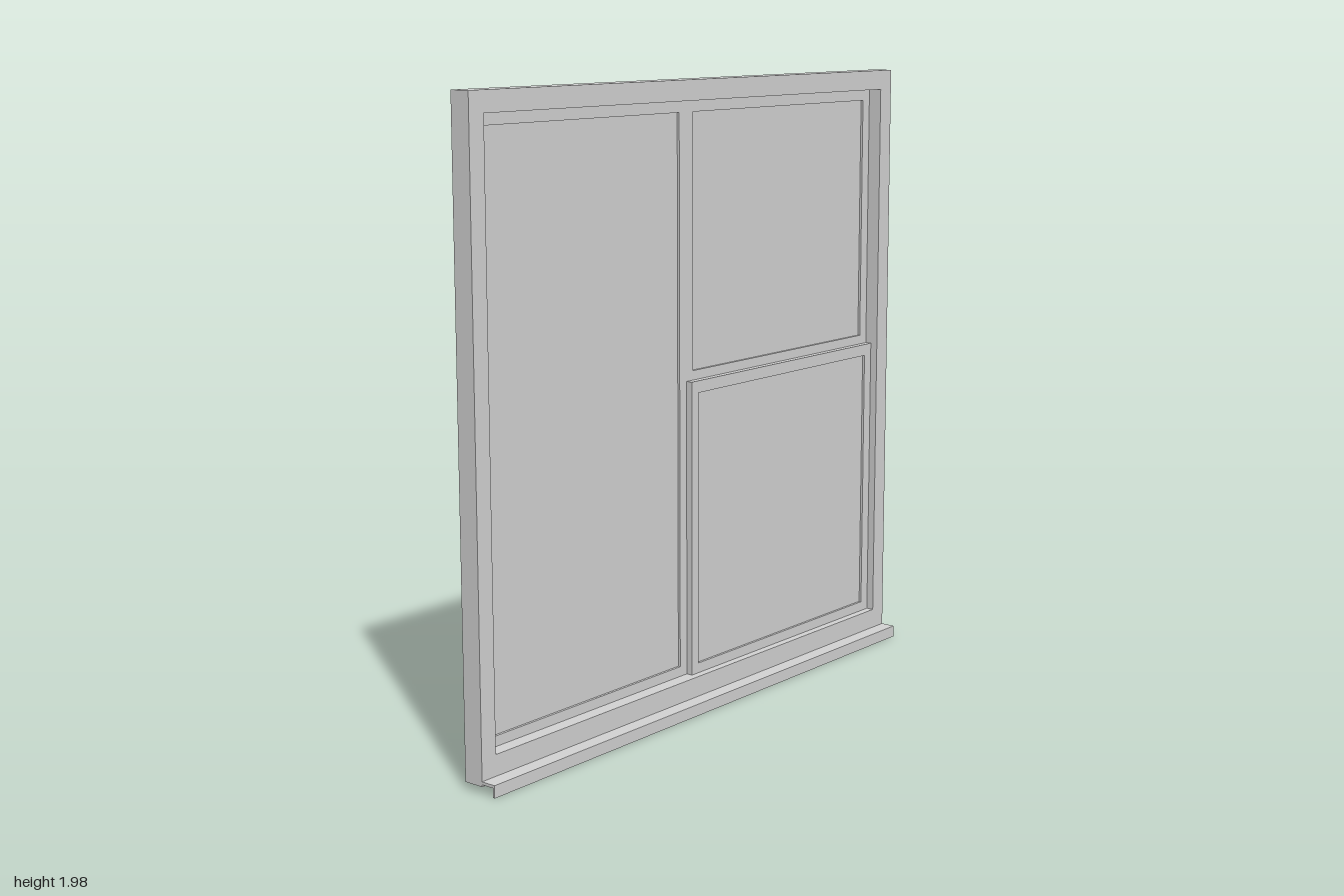
import * as THREE from 'three';

export function createModel() {
  const group = new THREE.Group();
  group.name = 'window';
  const lightGrey = new THREE.MeshStandardMaterial({ color: 0xd4d4d4 });
  lightGrey.name = 'lightGrey';

  const polygon = (Type, pts) => new Type(pts.map(([x, y]) => new THREE.Vector2(x, y)));
  const rect = (x0, x1, y0, y1) => [[x0, y0], [x1, y0], [x1, y1], [x0, y1]];

  function add(name, geometry) {
    const mesh = new THREE.Mesh(geometry, lightGrey);
    mesh.name = name;
    group.add(mesh);
  }

  // flat frame with openings, between two depths
  function frame(name, outline, openings, zBack, zFront) {
    const shape = polygon(THREE.Shape, outline);
    openings.forEach((o) => shape.holes.push(polygon(THREE.Path, o)));
    const geo = new THREE.ExtrudeGeometry(shape, { depth: zFront - zBack, bevelEnabled: false });
    add(name, geo.translate(0, 0, zBack));
  }

  function box(name, x0, x1, y0, y1, z0, z1) {
    const geo = new THREE.BoxGeometry(x1 - x0, y1 - y0, z1 - z0);
    add(name, geo.translate((x0 + x1) / 2, (y0 + y1) / 2, (z0 + z1) / 2));
  }

  // depths: back of window, step between fixed frame and sash, sash front, frame front
  const BACK = -0.058, MID = -0.037, SASH = -0.016, FRONT = 0.009;
  const L = -0.943, R = 0.94, B = 0.103, T = 1.917, MX = -0.032, MY = 1.05;

  // outer frame
  frame('outerFrame', rect(-1, 1, 0.022, 1.98), [rect(L, R, B, T)], BACK, FRONT);

  // panes: [name, x0, x1, y0, y1, back of its frame]
  const panes = [
    ['leftPane', -0.915, -0.065, 0.135, 1.88, BACK],
    ['upperPane', 0, 0.903, 1.08, 1.88, BACK],
    ['lowerPane', 0, 0.903, 0.135, 1.012, MID],
  ];
  const openings = panes.map(([, x0, x1, y0, y1]) => rect(x0, x1, y0, y1));

  // L-shaped fixed frame at the back
  frame('fixedFrame', [[L, B], [MX, B], [MX, MY], [R, MY], [R, T], [L, T]],
    openings.slice(0, 2), BACK, MID);

  // opening sash, set one step forward
  frame('openingSash', rect(MX, R, B, MY), [openings[2]], MID, SASH);

  // thin glazing in the middle of each frame
  for (const [name, x0, x1, y0, y1, z] of panes) {
    box(name, x0, x1, y0, y1, z + 0.008, z + 0.013);
  }

  // sill with a thin drip lip
  box('sillPlate', -1, 1, 0.029, 0.038, FRONT, 0.058);
  box('sillLip', -1, 1, 0, 0.029, 0.051, 0.058);

  return group;
}
